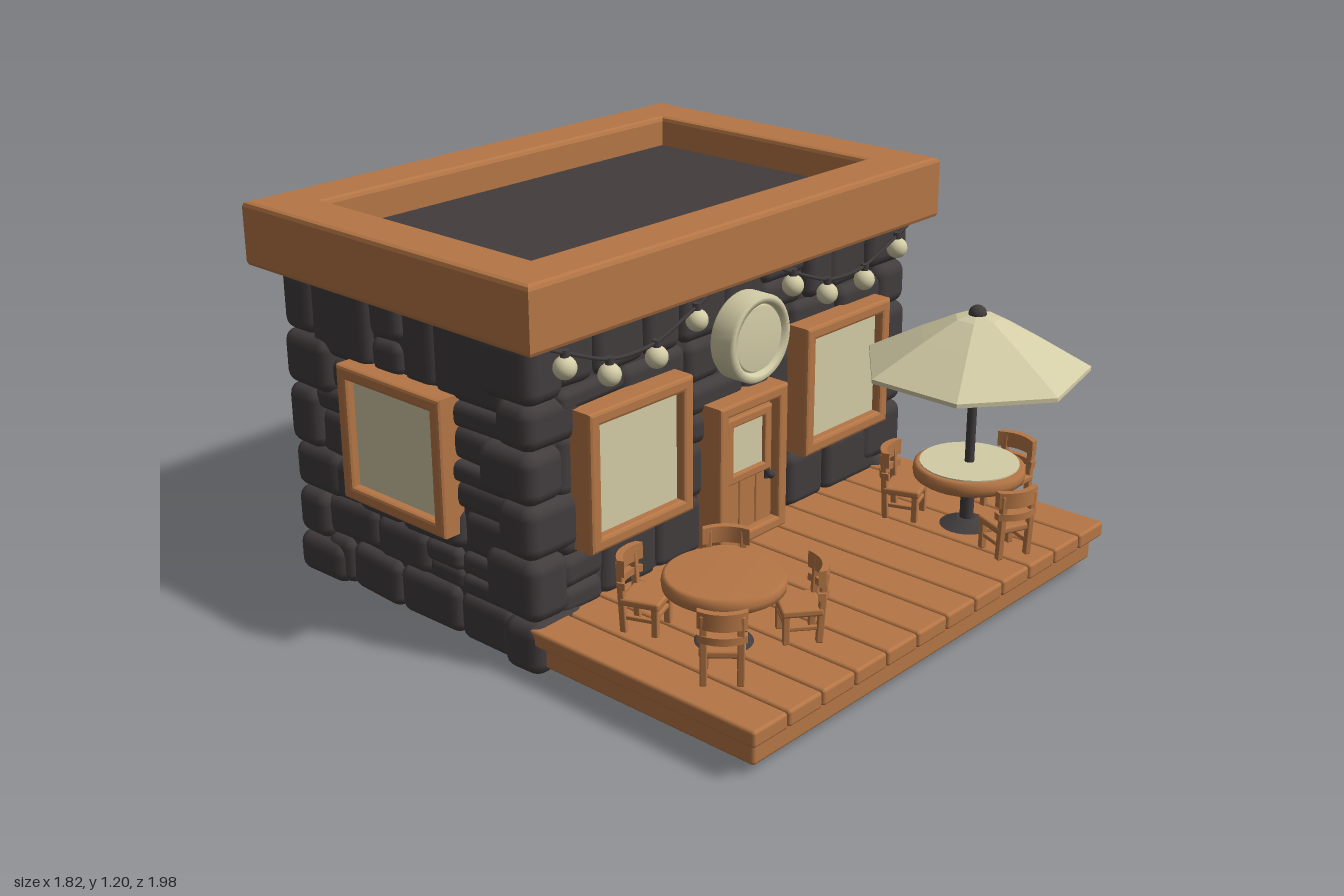
import * as THREE from 'three';
import { mergeGeometries } from 'three/addons/utils/BufferGeometryUtils.js';
import { RoundedBoxGeometry } from 'three/addons/geometries/RoundedBoxGeometry.js';

const wood = new THREE.MeshStandardMaterial({ color: 0xb57645 });
wood.name = 'warm wood';
const stone = new THREE.MeshStandardMaterial({ color: 0x423c3d });
stone.name = 'dark stone';
const cream = new THREE.MeshStandardMaterial({ color: 0xd3cca6 });
cream.name = 'cream';

const ZC = -0.385, DECK = 0.155; // building centre in z, deck top
let seed = 7;
const rnd = (a, b) => {
  seed = (seed * 16807) % 2147483647;
  return a + (b - a) * seed / 2147483647;
};

function add(parent, name, geo, mat, x = 0, y = 0, z = 0) {
  const m = new THREE.Mesh(geo, mat);
  m.name = name;
  m.position.set(x, y, z);
  parent.add(m);
  return m;
}
const rbox = (w, h, d, r = 0.008) => new RoundedBoxGeometry(w, h, d, 2, r);
const cyl = (r, h, n = 24, r2 = r) => new THREE.CylinderGeometry(r, r2, h, n);
const lathe = (pts, n, start = 0) =>
  new THREE.LatheGeometry(pts.map(p => new THREE.Vector2(...p)), n, start);

// Rectangular frame with a hole, bevelled, standing from z = 0 to z = d
function frameGeo(w, h, iw, ih, d, b) {
  const rect = (T, a, c) => {
    const s = new T();
    s.moveTo(-a / 2, -c / 2); s.lineTo(a / 2, -c / 2);
    s.lineTo(a / 2, c / 2); s.lineTo(-a / 2, c / 2); s.closePath();
    return s;
  };
  const shape = rect(THREE.Shape, w, h);
  shape.holes.push(rect(THREE.Path, iw, ih));
  const g = new THREE.ExtrudeGeometry(shape, {
    depth: d - 2 * b, bevelThickness: b, bevelSize: b, bevelOffset: -b, bevelSegments: 2 });
  return g.translate(0, 0, b);
}

// Stones of one wall, split at random into courses; u along, v up, w outward
function splitRow(from, to, min, max, fn) {
  let a = from;
  while (a < to - 0.01) {
    let b = a + rnd(min, max);
    if (to - b < min) b = to;
    fn(a, b);
    a = b;
  }
}
function pillow(u0, u1, v0, v1, outer) {
  const w = u1 - u0 + 0.004, h = v1 - v0 + 0.004, d = 0.1;
  const g = new RoundedBoxGeometry(w, h, d, 2, Math.min(w, h, d) * 0.36);
  g.rotateZ(rnd(-0.05, 0.05));
  return g.translate((u0 + u1) / 2, (v0 + v1) / 2, outer - d / 2 + rnd(-0.012, 0.01));
}
function facing(halfU, v0, v1, outer) {
  const list = [];
  splitRow(v0, v1, 0.13, 0.2, (a, b) => splitRow(-halfU, halfU, 0.12, 0.27, (c, d) => {
    if (rnd(0, 1) < 0.25) {
      const m = a + (b - a) * rnd(0.4, 0.6);
      list.push(pillow(c, d, a, m, outer), pillow(c, d, m, b, outer));
    } else list.push(pillow(c, d, a, b, outer));
  }));
  return list;
}

function walls(group) {
  add(group, 'wallCore', new THREE.BoxGeometry(1.63, 1.02, 1.01), stone, 0, 0.54, ZC);
  const parts = [];
  for (let i = 0; i < 4; i++) {
    const side = i % 2;
    for (const g of facing(side ? 0.42 : 0.73, 0.01, 1.01, side ? 0.842 : 0.53))
      parts.push(g.rotateY(i * Math.PI / 2).translate(0, 0, ZC));
  }
  // underside stones
  for (const g of facing(0.75, -0.45, 0.45, -0.012))
    parts.push(g.rotateX(Math.PI / 2).translate(0, 0.0, ZC));
  // corner blocks, long and short in turn
  for (const sx of [-1, 1]) for (const sz of [-1, 1]) {
    let k = sx * sz > 0 ? 0 : 1;
    splitRow(0.005, 1.01, 0.13, 0.2, (a, b) => {
      const w = k ? 0.22 : 0.15, d = k ? 0.15 : 0.22, h = b - a + 0.004;
      const g = new RoundedBoxGeometry(w, h, d, 2, 0.042);
      g.rotateY(rnd(-0.04, 0.04));
      const x = 0.862 - w / 2 + rnd(-0.01, 0.004), z = 0.545 - d / 2 + rnd(-0.01, 0.004);
      parts.push(g.translate(sx * x, (a + b) / 2, ZC + sz * z));
      k = 1 - k;
    });
  }
  add(group, 'wallStones', mergeGeometries(parts), stone);
}

function windowUnit(w, h) {
  const g = new THREE.Group();
  g.name = 'window';
  add(g, 'windowFrame', frameGeo(w, h, w - 0.085, h - 0.085, 0.09, 0.01), wood);
  add(g, 'windowPane', new THREE.BoxGeometry(w - 0.08, h - 0.08, 0.008), cream, 0, 0, 0.055);
  return g;
}

function door() {
  const g = new THREE.Group();
  g.name = 'door';
  g.position.set(0.0125, DECK, 0.12);
  add(g, 'doorFrame', frameGeo(0.315, 0.475, 0.235, 0.4, 0.1, 0.008), wood, 0, 0.2375, 0);
  add(g, 'doorSlab', new THREE.BoxGeometry(0.24, 0.43, 0.06), wood, 0, 0.218, 0.03);
  for (const i of [-1, 0, 1])
    add(g, 'doorBoard', rbox(0.075, 0.2, 0.02, 0.005), wood, i * 0.077, 0.11, 0.062);
  add(g, 'doorWindowFrame', frameGeo(0.21, 0.215, 0.145, 0.155, 0.025, 0.006), wood, 0, 0.31, 0.055);
  add(g, 'doorPane', new THREE.BoxGeometry(0.15, 0.16, 0.006), cream, 0, 0.31, 0.064);
  add(g, 'doorPlate', rbox(0.02, 0.035, 0.012, 0.004), stone, 0.088, 0.19, 0.075);
  add(g, 'doorKnob', new THREE.SphereGeometry(0.014, 14, 10), stone, 0.088, 0.19, 0.09);
  return g;
}

// Sagging wire with four hanging bulbs
function lightString(cx) {
  const g = new THREE.Group();
  g.name = 'lightString';
  g.position.set(cx, 0, 0.19);
  const path = new THREE.CatmullRomCurve3([[-0.32, 0.99], [-0.26, 0.965], [-0.1, 0.905],
    [0, 0.895], [0.1, 0.905], [0.26, 0.965], [0.32, 0.99]]
    .map(([x, y]) => new THREE.Vector3(x, y, 0)));
  add(g, 'wire', new THREE.TubeGeometry(path, 32, 0.006, 6), stone);
  for (const [x, y] of [[-0.265, 0.925], [-0.095, 0.858], [0.095, 0.858], [0.265, 0.925]]) {
    add(g, 'bulb', new THREE.SphereGeometry(0.034, 18, 12), cream, x, y, 0);
    add(g, 'bulbCap', cyl(0.013, 0.03, 12), stone, x, y + 0.037, 0);
  }
  return g;
}

// Chair with its back toward local +z
function chair() {
  const g = new THREE.Group();
  g.name = 'chair';
  add(g, 'seat', rbox(0.125, 0.024, 0.12), wood, 0, 0.095, 0);
  for (const s of [-1, 1]) {
    add(g, 'frontLeg', rbox(0.02, 0.09, 0.02, 0.004), wood, s * 0.048, 0.044, -0.045);
    const back = add(g, 'backPost', rbox(0.02, 0.215, 0.02, 0.004), wood, s * 0.05, 0.107, 0.055);
    back.rotation.x = 0.06;
    add(g, 'sideStretcher', rbox(0.012, 0.014, 0.1, 0.004), wood, s * 0.048, 0.045, 0);
  }
  add(g, 'frontStretcher', rbox(0.1, 0.014, 0.012, 0.004), wood, 0, 0.055, -0.045);
  for (const [y, h] of [[0.2, 0.05], [0.145, 0.022]]) {
    const rail = new THREE.BoxGeometry(0.135, h, 0.022, 6, 1, 1), p = rail.attributes.position;
    for (let i = 0; i < p.count; i++) p.setZ(i, p.getZ(i) - 5 * p.getX(i) ** 2);
    rail.computeVertexNormals();
    add(g, 'backRail', rail, wood, 0, y, 0.073);
  }
  return g;
}

// Table with chairs placed by [angle from +x toward +z in degrees, distance]
function tableSet(x, z, seats) {
  const g = new THREE.Group();
  g.name = 'tableSet';
  g.position.set(x, DECK, z);
  add(g, 'tableTop', lathe([[0, 0.16], [0.16, 0.16], [0.172, 0.168], [0.175, 0.185],
    [0.172, 0.203], [0.162, 0.21], [0, 0.21]], 36), wood);
  add(g, 'tableColumn', cyl(0.022, 0.16, 16), stone, 0, 0.08, 0);
  add(g, 'tableFoot', cyl(0.03, 0.025, 24, 0.085), stone, 0, 0.012, 0);
  for (const [deg, dist] of seats) {
    const a = deg * Math.PI / 180, c = chair();
    c.position.set(Math.cos(a) * dist, 0, Math.sin(a) * dist);
    c.rotation.y = Math.PI / 2 - a;
    g.add(c);
  }
  return g;
}

export function createModel() {
  const model = new THREE.Group();
  model.name = 'cafe';
  seed = 7;
  walls(model);

  // roof
  add(model, 'roofRim', frameGeo(1.82, 1.23, 1.47, 0.885, 0.2, 0.015), wood, 0, 1, ZC).rotation.x = -Math.PI / 2;
  add(model, 'roofFloor', new THREE.BoxGeometry(1.6, 0.08, 1.0), stone, 0, 1.06, ZC);

  // windows and door
  for (const s of [-1, 1]) {
    const front = windowUnit(0.425, 0.425);
    front.position.set(s * 0.475, 0.563, 0.13);
    const side = windowUnit(0.455, 0.425);
    side.position.set(s * 0.805, 0.563, -0.398);
    side.rotation.y = s * Math.PI / 2;
    model.add(front, side, lightString(s * 0.483));
  }
  model.add(door());

  // round sign with a grooved rim
  add(model, 'roundSign', lathe([[0, 0], [0.13, 0], [0.137, 0.01], [0.137, 0.08], [0.128, 0.09],
    [0.112, 0.088], [0.108, 0.07], [0.103, 0.07], [0.1, 0.08], [0, 0.08]], 40),
    cream, 0.005, 0.82, 0.16).rotation.x = Math.PI / 2;

  // deck
  add(model, 'deckBase', rbox(1.65, 0.08, 0.83, 0.012), wood, 0, 0.07, 0.515);
  for (let i = 0; i < 12; i++)
    add(model, 'deckPlank', rbox(0.138, 0.05, 0.845, 0.01), wood, (i - 5.5) * 0.1425, 0.13, 0.5325);

  // tables, chairs and umbrella
  model.add(tableSet(-0.535, 0.575, [[-111, 0.23], [-40, 0.2], [39, 0.21], [140, 0.2]]));
  const shaded = tableSet(0.55, 0.64, [[3, 0.2], [113, 0.21], [250, 0.2]]);
  model.add(shaded);
  add(shaded, 'tableCover', cyl(0.155, 0.006, 36), cream, 0, 0.211, 0);
  add(shaded, 'umbrellaPole', cyl(0.015, 0.7, 16), stone, 0, 0.355, 0);
  add(shaded, 'umbrellaTip', new THREE.SphereGeometry(0.028, 16, 10), stone, 0, 0.697, 0);
  const canopy = lathe([[0, 0.675], [0.18, 0.605], [0.34, 0.52], [0.352, 0.522], [0.352, 0.535],
    [0.18, 0.63], [0.07, 0.686], [0, 0.702]], 7, Math.PI / 2).toNonIndexed();
  canopy.computeVertexNormals();
  add(shaded, 'umbrellaCanopy', canopy, cream);
  return model;
}
